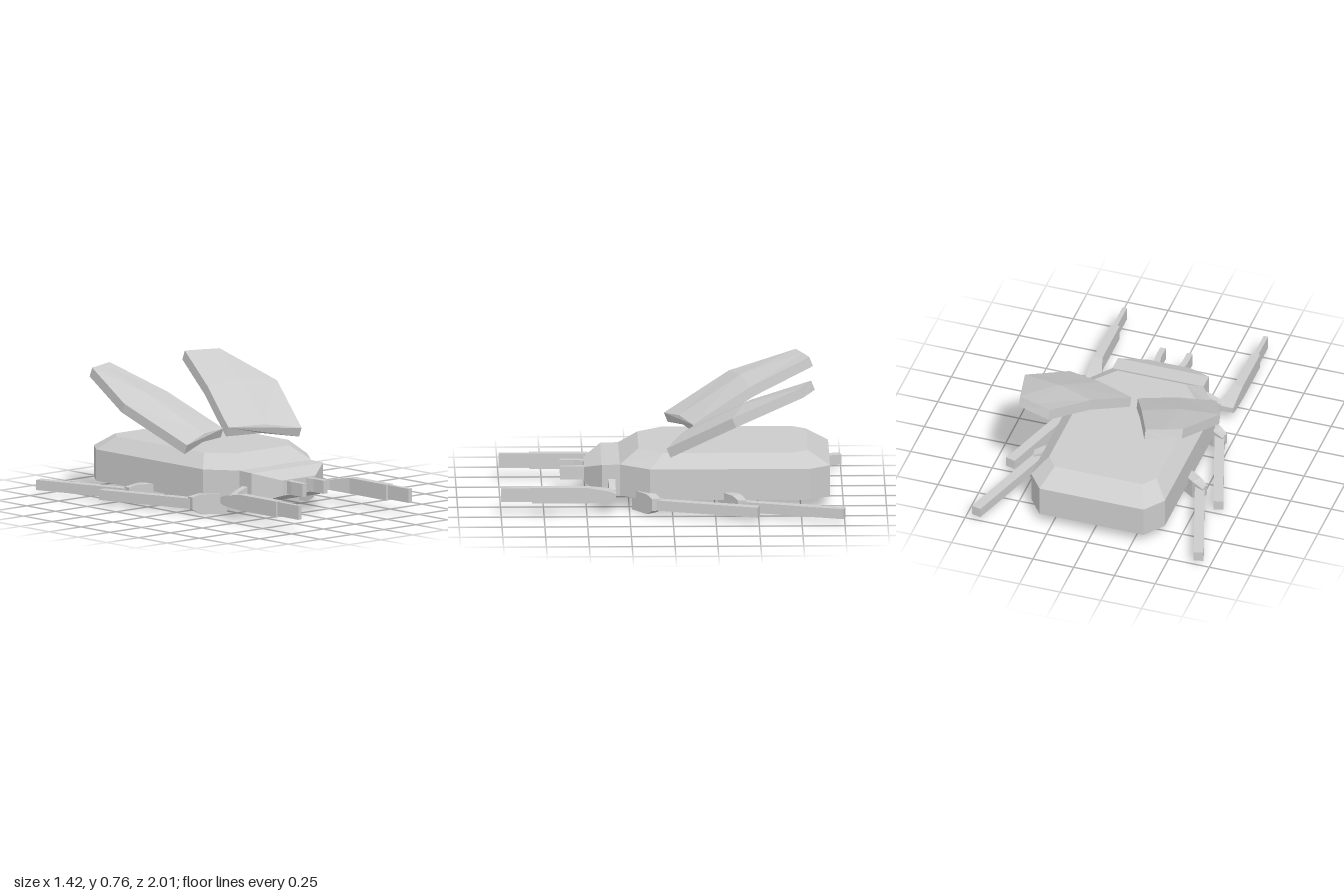
import * as THREE from 'three';

const material = new THREE.MeshStandardMaterial({ color: 0xcccccc, flatShading: true });

// Joins matching rings of points into a closed faceted solid; s = -1 mirrors it across x.
function loft(name, rings, s = 1) {
  const pts = rings.map(r => r.map(([x, y, z]) => new THREE.Vector3(s * x, y, z)));
  const n = pts[0].length, last = pts.length - 1, tris = [];
  for (let i = 0; i < last; i++) {
    for (let j = 0; j < n; j++) {
      const k = (j + 1) % n;
      const a = pts[i][j], b = pts[i][k], c = pts[i + 1][k], d = pts[i + 1][j];
      tris.push([a, b, c], [a, c, d]);
    }
  }
  for (let j = 1; j < n - 1; j++) {
    tris.push([pts[0][0], pts[0][j + 1], pts[0][j]]);
    tris.push([pts[last][0], pts[last][j], pts[last][j + 1]]);
  }
  // Turn the faces outward
  const cross = new THREE.Vector3();
  let volume = 0;
  for (const [a, b, c] of tris) volume += a.dot(cross.crossVectors(b, c));
  if (volume < 0) tris.forEach(t => t.reverse());
  const geometry = new THREE.BufferGeometry().setFromPoints(tris.flat());
  geometry.computeVertexNormals();
  const mesh = new THREE.Mesh(geometry, material);
  mesh.name = name;
  return mesh;
}

// Upright four-cornered section between two plan points
const section = (xa, za, xb, zb, y0, y1) =>
  [[xa, y0, za], [xb, y0, zb], [xb, y1, zb], [xa, y1, za]];

// Symmetrical horizontal outline from its +x half
const outline = (half, y) => [
  ...half.map(([x, z]) => [x, y, z]),
  ...half.slice().reverse().map(([x, z]) => [-x, y, z]),
];

export function createModel() {
  const model = new THREE.Group();
  model.name = 'beetle';

  // Body shell with bevelled top
  const wide = [[0.28, 0.305], [0.41, 0.13], [0.41, -0.8], [0.32, -0.92]];
  const narrow = [[0.21, 0.195], [0.33, 0.05], [0.33, -0.71], [0.27, -0.79]];
  model.add(loft('body', [outline(wide, 0.075), outline(wide, 0.26), outline(narrow, 0.34)]));

  // Head tapering to a small blunt face
  model.add(loft('head', [
    section(-0.28, 0.29, 0.28, 0.29, 0.075, 0.26),
    section(-0.28, 0.41, 0.28, 0.41, 0.075, 0.257),
    section(-0.13, 0.51, 0.13, 0.51, 0.12, 0.21),
  ]));

  for (const s of [1, -1]) {
    const side = s > 0 ? 'left' : 'right';

    // Mandible
    model.add(loft(side + 'Mandible', [
      section(0.05, 0.49, 0.09, 0.49, 0.127, 0.205),
      section(0.065, 0.565, 0.1, 0.555, 0.127, 0.205),
      section(0.065, 0.65, 0.1, 0.65, 0.127, 0.205),
    ], s));

    // Front leg: joint, shin and narrow tip
    const frontLeg = new THREE.Group();
    frontLeg.name = side + 'FrontLeg';
    frontLeg.add(
      loft('joint', [
        section(0.26, 0.33, 0.26, 0.375, 0.1, 0.18),
        section(0.33, 0.33, 0.33, 0.37, 0.085, 0.155),
        section(0.38, 0.33, 0.38, 0.37, 0.08, 0.13),
      ], s),
      loft('shin', [
        section(0.36, 0.33, 0.455, 0.33, 0.09, 0.125),
        section(0.365, 0.37, 0.457, 0.37, 0.08, 0.14),
        section(0.405, 0.5, 0.458, 0.5, 0.07, 0.163),
        section(0.405, 0.82, 0.458, 0.82, 0.07, 0.163),
      ], s),
      loft('tip', [
        section(0.42, 0.81, 0.447, 0.81, 0.077, 0.16),
        section(0.42, 1, 0.447, 1, 0.077, 0.16),
      ], s),
    );
    model.add(frontLeg);

    // Middle and rear legs share one shape
    for (const [name, dx, dz] of [['MiddleLeg', 0, 0], ['RearLeg', 0.045, -0.5]]) {
      const leg = new THREE.Group();
      leg.name = side + name;
      leg.add(
        loft('hip', [
          section(0.315, 0.235, 0.315, 0.16, 0, 0.12),
          section(0.44, 0.15, 0.4, 0.1, 0, 0.118),
          section(0.485, 0.12, 0.475, 0.07, 0.03, 0.1),
        ], s),
        loft('shin', [
          section(0.42, 0.09, 0.475, 0.105, 0.03, 0.09),
          section(0.61, -0.505, 0.667, -0.49, 0.03, 0.09),
        ], s),
      );
      leg.position.set(s * dx, 0, dz);
      model.add(leg);
    }

    // Raised wing case: three rows across, given thickness below
    const rows = [
      [[0.02, 0.425, -0.125], [0.235, 0.43, -0.05], [0.45, 0.395, 0.035]],
      [[0.155, 0.615, -0.46], [0.37, 0.64, -0.41], [0.6, 0.61, -0.345]],
      [[0.295, 0.762, -0.81], [0.395, 0.762, -0.775], [0.5, 0.762, -0.735]],
    ];
    const thicken = row => [
      ...row, ...row.slice().reverse().map(([x, y, z]) => [x, y - 0.055, z - 0.022]),
    ];
    model.add(loft(side + 'WingCase', rows.map(thicken), s));
  }

  return model;
}
